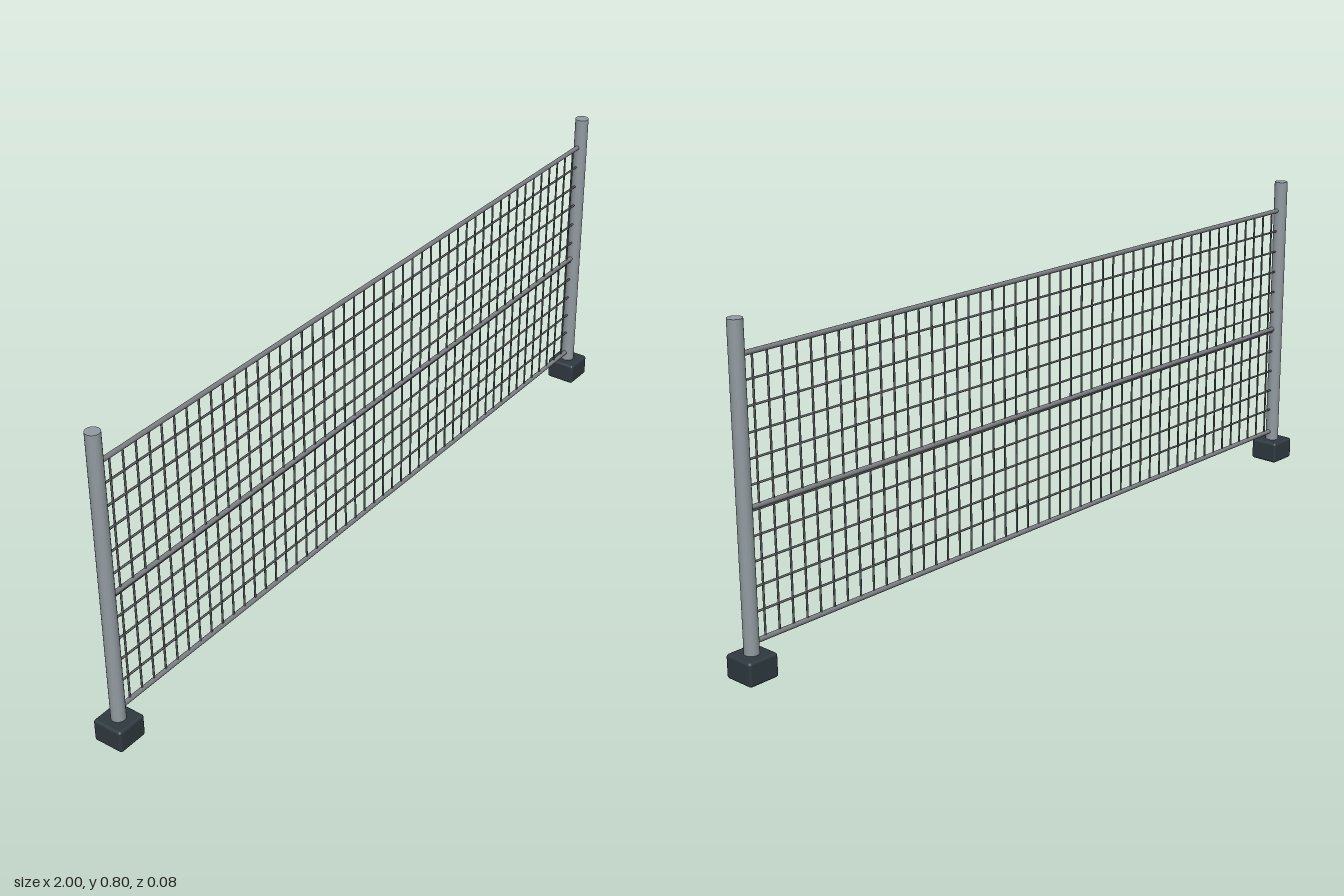
import * as THREE from 'three';
import { RoundedBoxGeometry } from 'three/addons/geometries/RoundedBoxGeometry.js';

const paint = (color) => new THREE.MeshStandardMaterial({ color });

export function createModel() {
  const model = new THREE.Group();
  const postPaint = paint(0x929ca1);
  const footPaint = paint(0x2f3a40);
  const railPaint = paint(0x7c8083);
  const wirePaint = paint(0x5c5f62);

  const add = (parent, name, geometry, material, x, y) => {
    const mesh = new THREE.Mesh(geometry, material);
    mesh.name = name;
    mesh.position.set(x, y, 0);
    parent.add(mesh);
  };

  // Round posts standing in rounded block feet
  const postGeometry = new THREE.CylinderGeometry(0.0175, 0.0175, 0.8, 24);
  const footGeometry = new RoundedBoxGeometry(0.08, 0.0575, 0.08, 3, 0.007);
  for (const side of [-1, 1]) {
    const name = side > 0 ? 'left' : 'right';
    add(model, name + 'Post', postGeometry, postPaint, side * 0.96, 0.4);
    add(model, name + 'Foot', footGeometry, footPaint, side * 0.96, 0.02925);
  }

  // Horizontal rails between the posts
  const railGeometry = new THREE.CylinderGeometry(0.006, 0.006, 1.9, 12).rotateZ(Math.PI / 2);
  const rails = { topRail: 0.721, middleRail: 0.385, bottomRail: 0.082 };
  for (const [name, y] of Object.entries(rails)) {
    add(model, name, railGeometry, railPaint, 0, y);
  }

  // Wire mesh infill
  const wireMesh = new THREE.Group();
  wireMesh.name = 'wireMesh';
  model.add(wireMesh);
  const verticalWire = new THREE.CylinderGeometry(0.0025, 0.0025, 0.632, 8);
  for (let i = -23; i <= 23; i++) {
    add(wireMesh, 'verticalWire', verticalWire, wirePaint, i * 0.04, 0.404);
  }
  const horizontalWire = new THREE.CylinderGeometry(0.0027, 0.0027, 1.9, 8).rotateZ(Math.PI / 2);
  for (let i = 1; i <= 10; i++) {
    add(wireMesh, 'horizontalWire', horizontalWire, wirePaint, 0, 0.721 - i * 0.0573);
  }

  return model;
}
